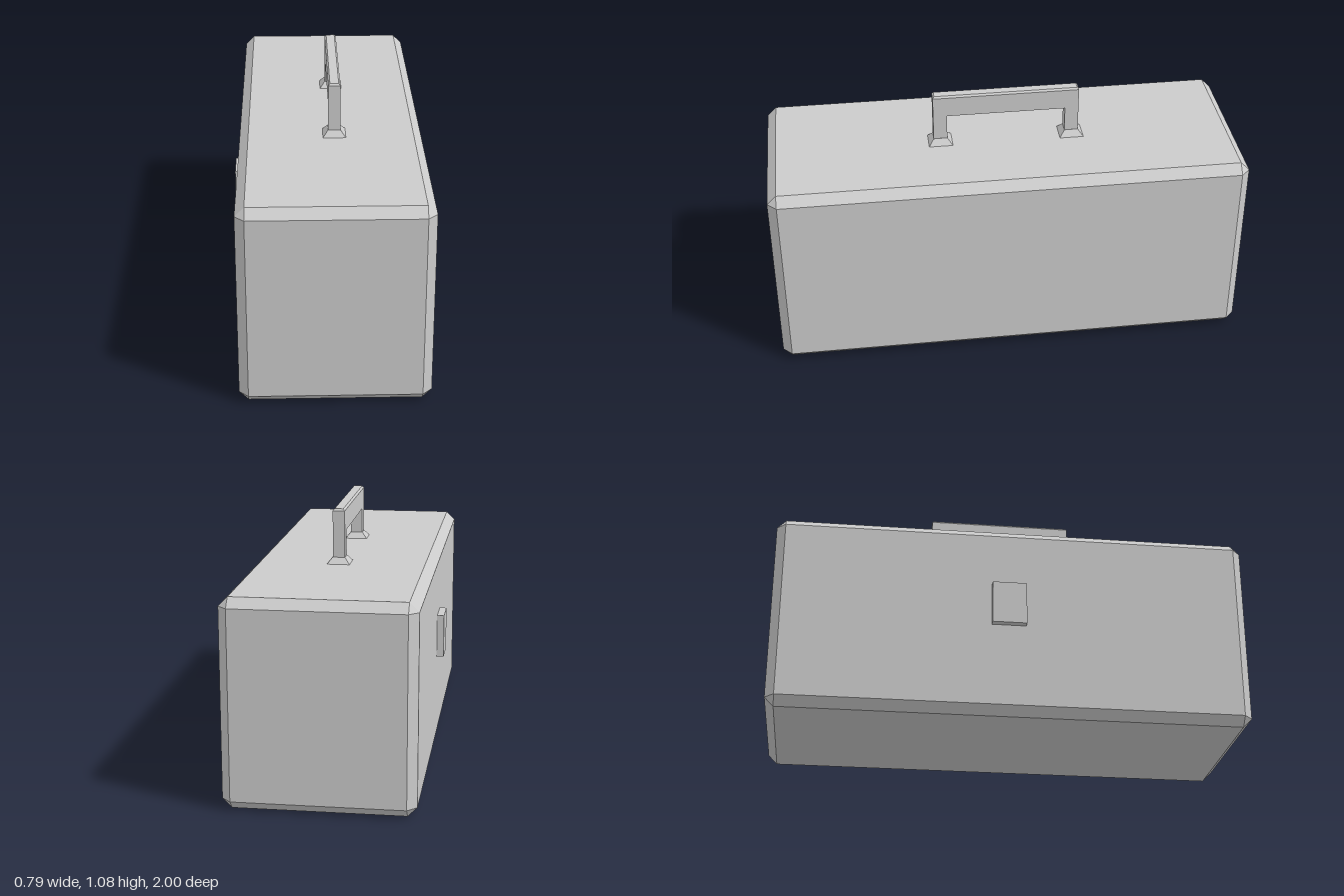
import * as THREE from 'three';
import { ConvexGeometry } from 'three/addons/geometries/ConvexGeometry.js';

const material = new THREE.MeshStandardMaterial({ color: 0xcccccc, flatShading: true });

// Box with all twelve edges cut at 45 degrees, centred on the origin
function chamferedBox(w, h, d, c) {
  const points = [];
  for (const sx of [-1, 1]) for (const sy of [-1, 1]) for (const sz of [-1, 1]) {
    const x = w / 2, y = h / 2, z = d / 2;
    points.push(
      new THREE.Vector3(sx * x, sy * (y - c), sz * (z - c)),
      new THREE.Vector3(sx * (x - c), sy * y, sz * (z - c)),
      new THREE.Vector3(sx * (x - c), sy * (y - c), sz * z));
  }
  return new ConvexGeometry(points);
}

// Rectangular block standing on y = 0 whose top is narrowed by an inset on every side
function taperedBlock(w, h, d, inset) {
  const points = [];
  for (const sx of [-1, 1]) for (const sz of [-1, 1]) {
    points.push(
      new THREE.Vector3(sx * w / 2, 0, sz * d / 2),
      new THREE.Vector3(sx * (w / 2 - inset), h, sz * (d / 2 - inset)));
  }
  return new ConvexGeometry(points);
}

export function createModel() {
  const model = new THREE.Group();
  model.name = 'toolbox';

  const add = (parent, name, geometry, x = 0, y = 0, z = 0) => {
    const mesh = new THREE.Mesh(geometry, material);
    mesh.name = name;
    mesh.position.set(x, y, z);
    parent.add(mesh);
  };

  // Case
  const caseTop = 0.846;
  add(model, 'case', chamferedBox(0.763, caseTop, 2, 0.038), 0.0135, caseTop / 2, 0);

  // Latch plate on the long right side
  add(model, 'latch', new THREE.BoxGeometry(0.04, 0.184, 0.144), -0.378, 0.485, -0.018);

  // Handle: an arch running along z, with a cut top edge and two flared feet
  const handle = new THREE.Group();
  handle.name = 'handle';
  handle.position.x = 0.027;
  model.add(handle);

  const back = -0.323, front = 0.295, leg = 0.058, width = 0.05;
  const shoulder = 1.067, gripUnder = 0.98;
  const arch = new THREE.Shape([
    [back, caseTop], [back + leg, caseTop], [back + leg, gripUnder], [front - leg, gripUnder],
    [front - leg, caseTop], [front, caseTop], [front, shoulder], [back, shoulder],
  ].map(([z, y]) => new THREE.Vector2(z, y)));
  const archGeometry = new THREE.ExtrudeGeometry(arch, { depth: width, bevelEnabled: false });
  archGeometry.rotateY(-Math.PI / 2).translate(width / 2, 0, 0);
  add(handle, 'grip', archGeometry);
  add(handle, 'gripTop', taperedBlock(width, 0.008, front - back, 0.007), 0, shoulder, (front + back) / 2);

  for (const z of [back + leg / 2, front - leg / 2]) {
    add(handle, 'handleFoot', taperedBlock(0.095, 0.026, 0.101, 0.0215), 0, caseTop, z);
  }

  return model;
}
